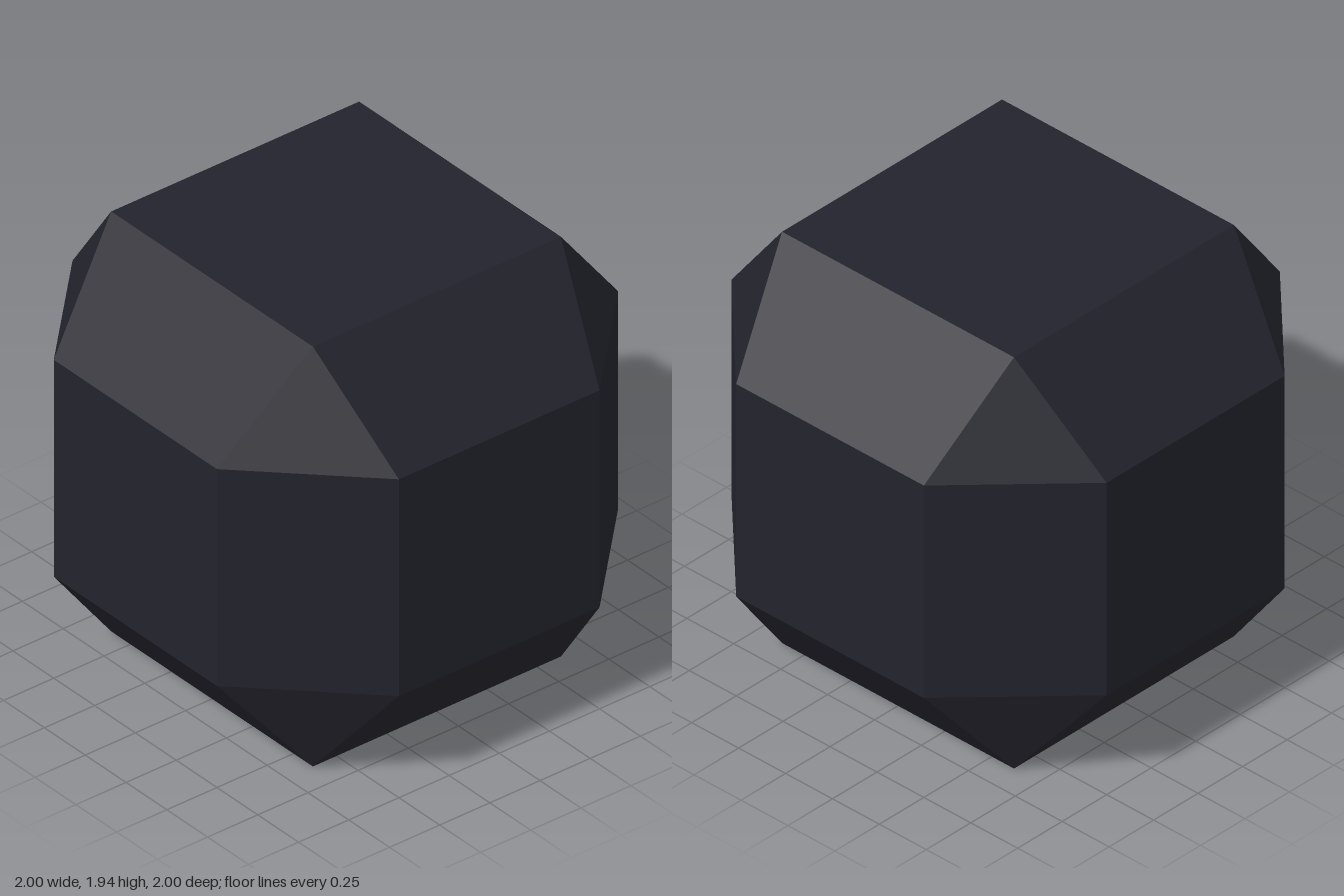
import * as THREE from 'three';
import { ConvexGeometry } from 'three/addons/geometries/ConvexGeometry.js';

export function createModel() {
  const group = new THREE.Group();
  group.name = 'facetedBlock';

  const darkSlate = new THREE.MeshStandardMaterial({ color: 0x23232d });
  darkSlate.name = 'darkSlate';

  // Corners: square caps at top and bottom, octagonal rings between them
  const height = 1.936, cap = 0.618, ringY = 0.468;
  const points = [];
  for (const sx of [-1, 1]) {
    for (const sz of [-1, 1]) {
      for (const [capY, y] of [[0, ringY], [height, height - ringY]]) {
        points.push(
          new THREE.Vector3(sx * cap, capY, sz * cap),
          new THREE.Vector3(sx, y, sz * 0.5),
          new THREE.Vector3(sx * 0.5, y, sz)
        );
      }
    }
  }

  // Flat-faced solid spanning the corners
  const body = new THREE.Mesh(new ConvexGeometry(points), darkSlate);
  body.name = 'facetedBody';
  group.add(body);
  return group;
}
